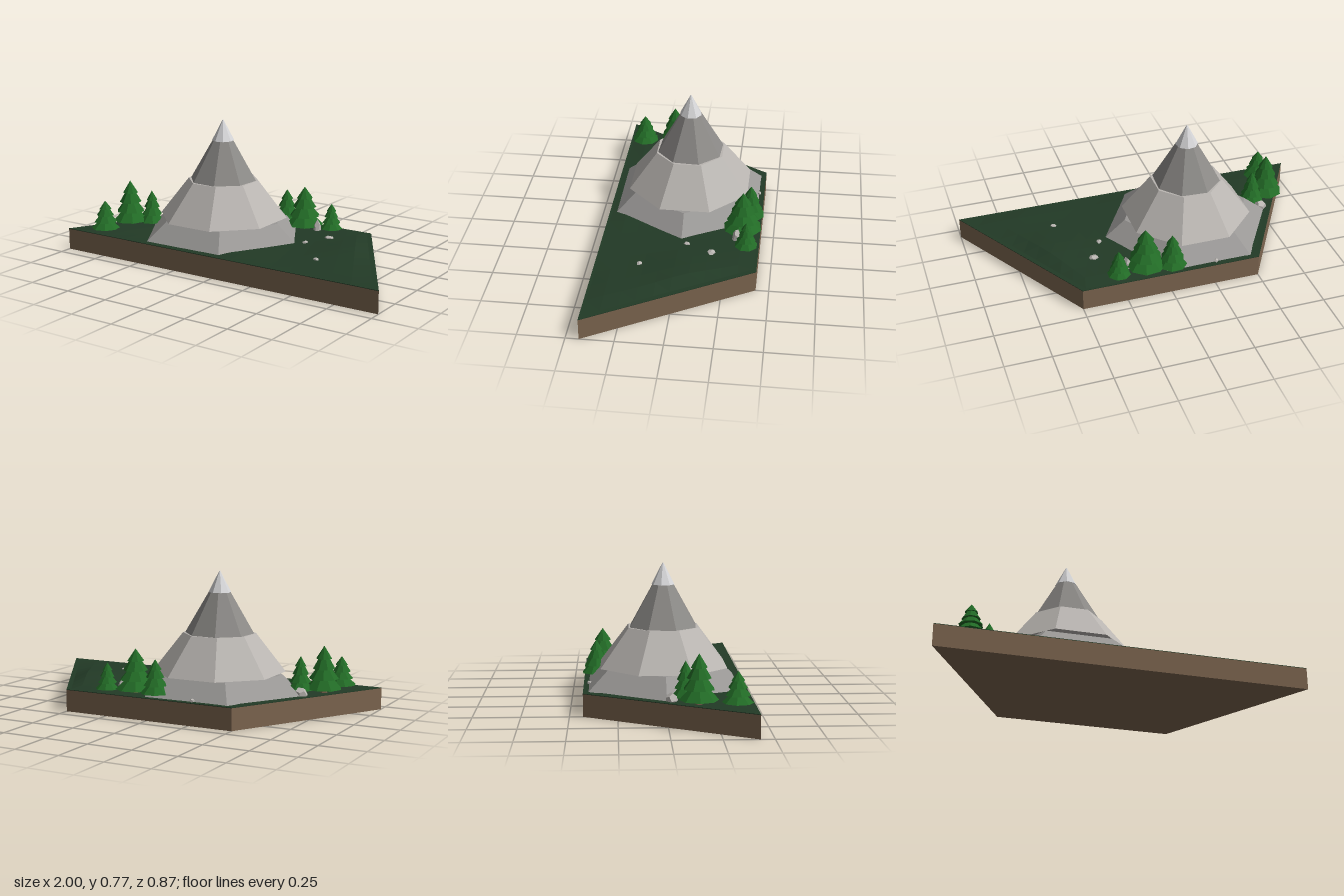
import * as THREE from 'three';

const mat = (name, color) => {
  const m = new THREE.MeshStandardMaterial({ color, flatShading: true });
  m.name = name;
  return m;
};

export function createModel() {
  const earth = mat('earth brown', 0x7d6650);
  const grass = mat('dark grass', 0x223a26);
  const pine = mat('pine green', 0x226b26);
  const footRock = mat('foot rock', 0x9a9896);
  const paleRock = mat('pale rock', 0xbab6b2);
  const darkRock = mat('dark rock', 0x8c8a87);
  const snow = mat('peak white', 0xd6d6d8);

  const model = new THREE.Group();
  model.name = 'mountainDiorama';
  const add = (name, geometry, material, parent = model) => {
    const mesh = new THREE.Mesh(geometry, material);
    mesh.name = name;
    parent.add(mesh);
    return mesh;
  };

  // Trapezoid slab: wide at the front, narrow at the back
  const slab = (y0, y1) => {
    const s = new THREE.Shape();
    s.moveTo(-1, -0.43);
    s.lineTo(1, -0.43);
    s.lineTo(0.5, 0.43);
    s.lineTo(-0.5, 0.43);
    return new THREE.ExtrudeGeometry(s, { depth: y1 - y0, bevelEnabled: false })
      .rotateX(-Math.PI / 2).translate(0, y0, 0);
  };
  add('earthBase', slab(0, 0.119), earth);
  add('grassCover', slab(0.119, 0.122), grass);

  // Gently rolling turf with a low rise on the right; its rim meets the slab
  const turf = new THREE.PlaneGeometry(2, 2, 16, 10).rotateX(-Math.PI / 2);
  const p = turf.attributes.position;
  const groundY = (x, z) =>
    0.126 + 0.027 * Math.exp(-(((x - 0.57) / 0.2) ** 2) - ((z + 0.06) / 0.22) ** 2)
    + 0.003 * Math.sin(9 * x + 4 * z);
  for (let i = 0; i < p.count; i++) {
    const u = p.getX(i), v = p.getZ(i);
    const z = v * 0.415;
    const x = u * (0.72 + 0.29 * z / 0.5);
    const rim = Math.abs(u) > 0.99 || Math.abs(v) > 0.99;
    p.setXYZ(i, x, rim ? 0.122 : groundY(x, z), z);
  }
  turf.computeVertexNormals();
  add('rollingTurf', turf, grass);

  // Mountain in stacked faceted tiers
  const mountain = new THREE.Group();
  mountain.name = 'mountain';
  mountain.position.set(-0.22, 0, -0.005);
  model.add(mountain);
  const tier = (name, rTop, rBottom, y0, y1, sides, turn, material) =>
    add(name, new THREE.CylinderGeometry(rTop, rBottom, y1 - y0, sides)
      .rotateY(turn).translate(0, (y0 + y1) / 2, 0), material, mountain);
  tier('mountainFoot', 0.36, 0.485, 0.12, 0.222, 6, Math.PI / 6, footRock).scale.z = 0.95;
  tier('lowerSlope', 0.2, 0.362, 0.222, 0.43, 8, Math.PI / 8, paleRock);
  tier('upperSlope', 0.06, 0.192, 0.425, 0.653, 8, Math.PI / 8 - 0.06, darkRock);
  tier('peak', 0.003, 0.062, 0.653, 0.768, 8, Math.PI / 8 + 0.2, snow);

  // Pines: [x, z, radius, top]
  const pines = [
    [-0.77, 0.15, 0.1, 0.378], [-0.66, 0.09, 0.072, 0.322], [-0.8, 0.34, 0.08, 0.295],
    [0.12, -0.33, 0.108, 0.364], [-0.02, -0.365, 0.08, 0.322], [0.28, -0.36, 0.064, 0.28],
  ];
  pines.forEach(([x, z, r, top], n) => {
    const tree = new THREE.Group();
    tree.name = 'pineTree' + (n + 1);
    tree.position.set(x, 0.12, z);
    tree.rotation.y = n * 0.7;
    model.add(tree);
    const h = top - 0.12;
    add('trunk', new THREE.CylinderGeometry(r * 0.16, r * 0.2, h * 0.4, 6)
      .translate(0, h * 0.2, 0), earth, tree);
    for (let k = 0; k < 4; k++) {
      const y0 = h * (0.1 + 0.21 * k);
      const y1 = k === 3 ? h : y0 + h * 0.42;
      add('boughs' + (k + 1), new THREE.ConeGeometry(r * (1 - 0.19 * k), y1 - y0, 8)
        .rotateY(k * 0.35).translate(0, (y0 + y1) / 2, 0), pine, tree);
    }
  });

  // Scattered stones: [x, z, radius, height]
  const stones = [
    [0.37, -0.18, 0.027, 0.014], [0.3, -0.04, 0.018, 0.012], [0.505, 0.19, 0.018, 0.012],
    [-0.26, -0.4, 0.014, 0.012], [0.22, -0.305, 0.026, 0.065], [-0.69, 0.02, 0.04, 0.04],
  ];
  stones.forEach(([x, z, r, h], n) => {
    const stone = add('stone' + (n + 1), new THREE.DodecahedronGeometry(1), paleRock);
    stone.scale.set(r, h, r * 0.85);
    stone.position.set(x, groundY(x, z), z);
    stone.rotation.y = n * 1.3;
  });

  return model;
}
